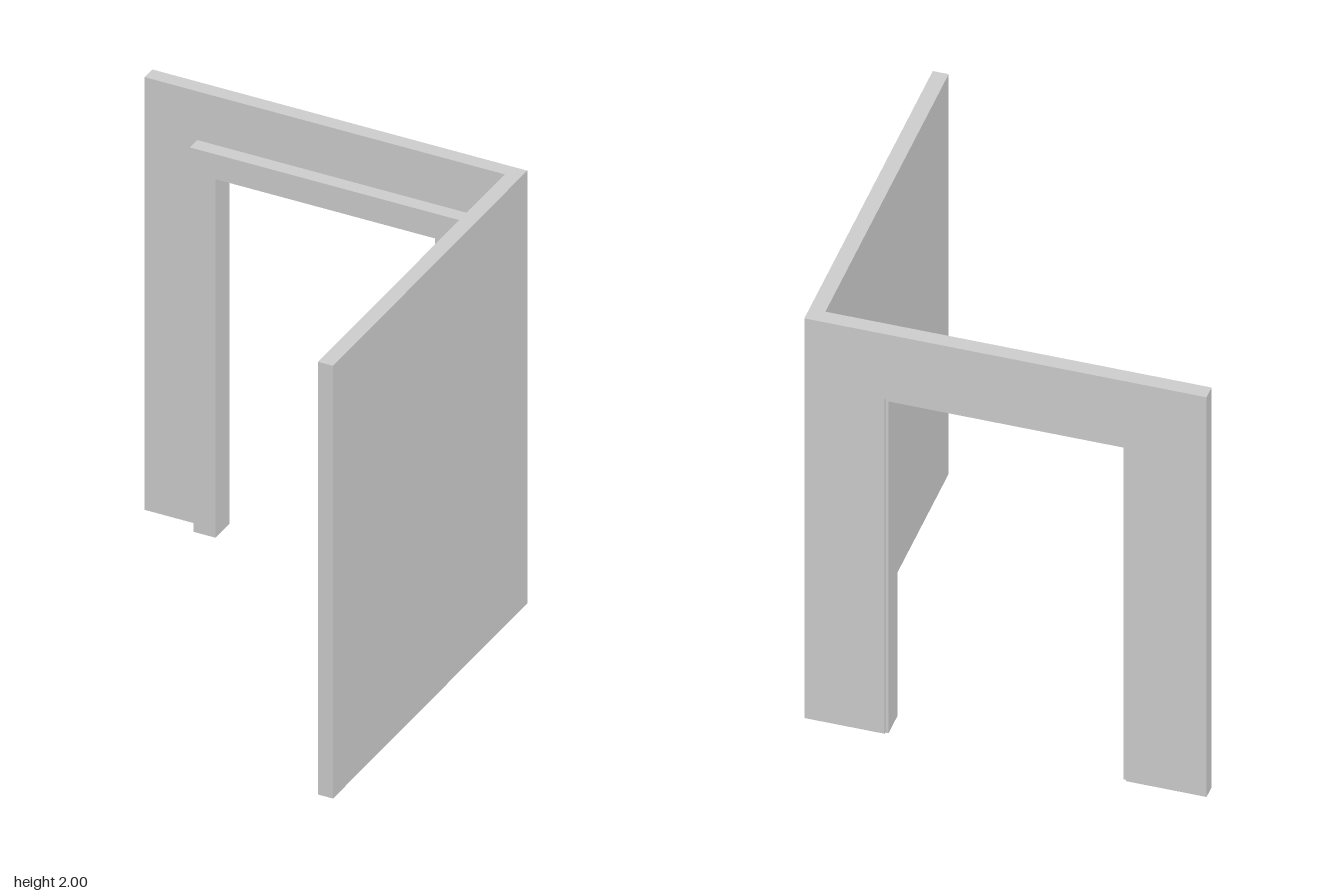
import * as THREE from 'three';

const material = new THREE.MeshStandardMaterial({ color: 0xcccccc, flatShading: true });

function add(parent, name, geometry) {
  const mesh = new THREE.Mesh(geometry, material);
  mesh.name = name;
  parent.add(mesh);
  return mesh;
}

// Extrude a closed outline given as [x, y] corners
function prism(points, depth) {
  const shape = new THREE.Shape(points.map(([x, y]) => new THREE.Vector2(x, y)));
  return new THREE.ExtrudeGeometry(shape, { depth, bevelEnabled: false });
}

export function createModel() {
  const group = new THREE.Group();
  const H = 2, W = 0.833, inner = 0.767; // wall height, outer and inner faces
  const openX = 0.5, openY = 1.675;      // doorway in the wall
  const trimX = 0.487, trimY = 1.66;     // clear opening inside the frame
  const trimBack = -0.825, trimFront = -0.704;

  // Back wall with the doorway cut out
  const wall = prism([
    [-W, 0], [-openX, 0], [-openX, openY], [openX, openY],
    [openX, 0], [W, 0], [W, H], [-W, H],
  ], W - inner);
  wall.translate(0, 0, -W);
  add(group, 'doorwayWall', wall);

  // Side wall on the model's left
  const side = new THREE.BoxGeometry(W - inner, H, W + inner);
  side.translate((W + inner) / 2, H / 2, (W - inner) / 2);
  add(group, 'sideWall', side);

  // Door frame: L-sections that line the opening and lap over the wall
  const frame = new THREE.Group();
  frame.name = 'doorFrame';
  group.add(frame);

  for (const s of [-1, 1]) {
    // Plan outline in x and -z, raised along y
    const outline = [
      [trimX, -trimBack], [trimX, 0.708], [0.585, 0.708],
      [0.585, inner], [openX, inner], [openX, -trimBack],
    ].map(([x, z]) => [s * x, z]);
    const jamb = prism(outline, trimY);
    jamb.rotateX(-Math.PI / 2);
    add(frame, s > 0 ? 'leftJamb' : 'rightJamb', jamb);
  }

  // Lintel casing on the wall face, and the lining under the wall head
  const casing = new THREE.BoxGeometry(1.2, 1.775 - trimY, inner + trimFront);
  casing.translate(0, (1.775 + trimY) / 2, (trimFront - inner) / 2);
  add(frame, 'lintelCasing', casing);

  const lining = new THREE.BoxGeometry(2 * openX, openY - trimY, -inner - trimBack);
  lining.translate(0, (openY + trimY) / 2, (trimBack - inner) / 2);
  add(frame, 'lintelLining', lining);

  return group;
}
